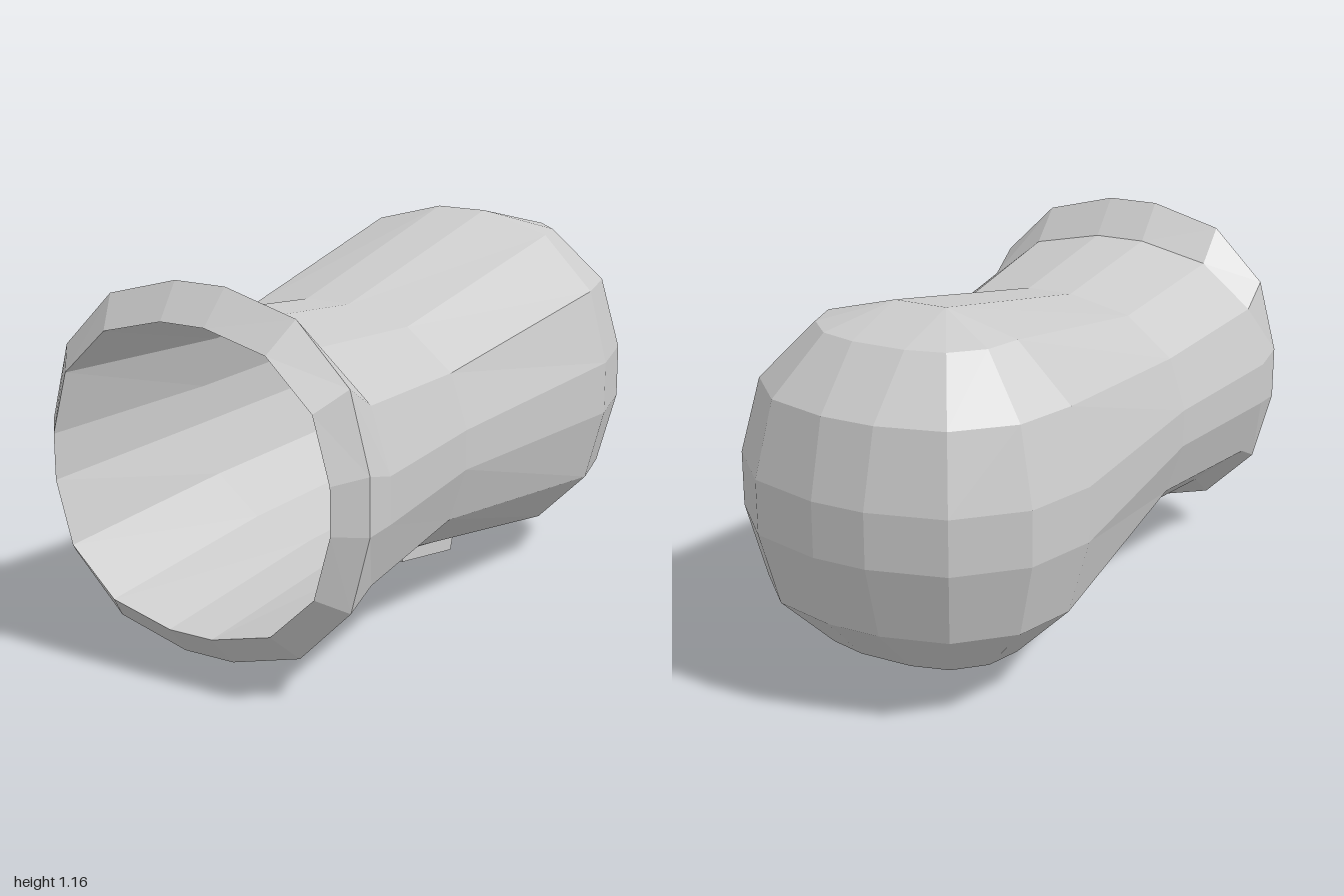
import * as THREE from 'three';

const FLAT = 0.085, R = 0.462, HALF = FLAT + R, CY = 0.615, BACK = -0.538;
const material = new THREE.MeshStandardMaterial({ color: 0xcccccc, flatShading: true, side: THREE.DoubleSide });

// Quarter-round steps with a short flat gap in the middle: [angle, gap side]
const steps = [[-3, -1], [-2, -1], [-1, -1], [0, -1], [0, 1], [1, 1], [2, 1], [3, 1]]
  .map(([k, side]) => [k * Math.PI / 6, side * FLAT]);

// Surface through equal-length rows of points
function surface(rows) {
  const n = rows[0].length, index = [];
  for (let j = 0; j < rows.length - 1; j++) {
    for (let i = 0; i < n - 1; i++) {
      const a = j * n + i, b = a + n;
      index.push(a, a + 1, b + 1, a, b + 1, b);
    }
  }
  const geometry = new THREE.BufferGeometry();
  geometry.setAttribute('position', new THREE.Float32BufferAttribute(rows.flat(2), 3));
  geometry.setIndex(index);
  geometry.computeVertexNormals();
  return geometry;
}

// Closed 16-sided rounded outline, anticlockwise from the front
function ring([z, hx, hy, cy]) {
  const points = [];
  for (let q = 0; q < 4; q++) {
    const sx = q === 0 || q === 3 ? FLAT : -FLAT, sy = q < 2 ? FLAT : -FLAT;
    for (let k = 0; k < 4; k++) {
      const a = (q * 3 + k) * Math.PI / 6;
      points.push([(sx + R * Math.cos(a)) / HALF * hx, cy + (sy + R * Math.sin(a)) / HALF * hy, z]);
    }
  }
  points.push(points[0]);
  return points;
}

// Side profile in (z, y), extruded across x
function sideExtrude(profile, width) {
  const shape = new THREE.Shape(profile.map(p => new THREE.Vector2(...p)));
  return new THREE.ExtrudeGeometry(shape, { depth: width, bevelEnabled: false })
    .translate(0, 0, -width / 2).rotateY(-Math.PI / 2);
}

export function createModel() {
  const group = new THREE.Group();
  const add = (name, geometry) => {
    const mesh = new THREE.Mesh(geometry, material);
    mesh.name = name;
    group.add(mesh);
  };

  // Waisted outer wall with flared front collar: z, half width, half height, centre height
  add('outerWall', surface([
    [BACK, HALF, HALF, CY],
    [0.28, 0.485, 0.392, 0.602],
    [0.81, 0.547, 0.445, 0.605],
    [0.915, HALF, HALF, CY],
    [1, 0.475, 0.449, 0.613],
  ].map(ring)));

  // Hollow inside, closed by a flat wall at the back
  add('innerWall', surface([
    [1, 0.475, 0.449, 0.613],
    [0.28, 0.478, 0.387, 0.602],
    [-0.52, 0.478, 0.387, 0.605],
    [-0.52, 0, 0, 0.605],
  ].map(ring)));

  // Rounded rear end
  add('rearDome', surface([...steps].reverse().map(([phi, gy]) => steps.map(([theta, gx]) => [
    gx + R * Math.cos(phi) * Math.sin(theta),
    CY + gy + R * Math.sin(phi),
    BACK - R * Math.cos(phi) * Math.cos(theta),
  ]))));

  // Small foot under the rear, with its tapered mounting plate
  add('footPlate', sideExtrude([[0.26, 0.21], [-0.08, 0.1], [-0.41, 0.05], [-0.52, 0.08]], 0.13));
  add('foot', sideExtrude([[-0.08, 0.11], [-0.08, 0.055], [-0.4, 0], [-0.42, 0.06]], 0.1));

  return group;
}
